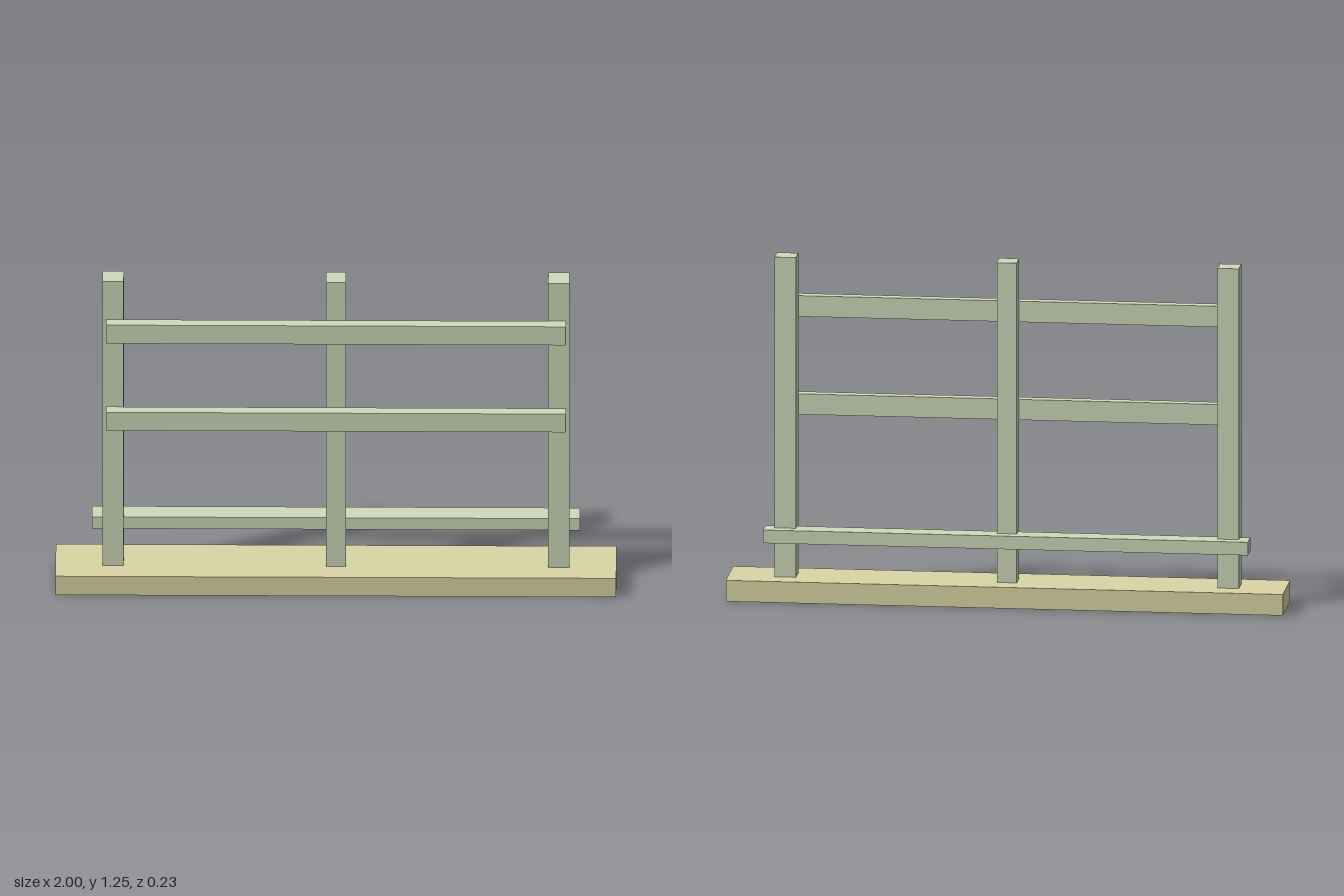
import * as THREE from 'three';

export function createModel() {
  const model = new THREE.Group();
  model.name = 'railStand';
  const green = new THREE.MeshStandardMaterial({ color: 0xd0dabb });
  const sand = new THREE.MeshStandardMaterial({ color: 0xdbd6a5 });

  // Box given by its centre x, width, and y and z ranges
  function beam(name, material, x, width, [y0, y1], [z0, z1]) {
    const mesh = new THREE.Mesh(new THREE.BoxGeometry(width, y1 - y0, z1 - z0), material);
    mesh.position.set(x, (y0 + y1) / 2, (z0 + z1) / 2);
    mesh.name = name;
    model.add(mesh);
  }

  // Ground plank
  beam('base', sand, 0, 2, [0, 0.077], [-0.115, 0.115]);

  // Three upright posts, the middle one slightly narrower
  const postY = [0.077, 1.246], postZ = [-0.038, 0.038];
  beam('rightPost', green, -0.795, 0.076, postY, postZ);
  beam('middlePost', green, 0, 0.071, postY, postZ);
  beam('leftPost', green, 0.795, 0.076, postY, postZ);

  // Two rails fixed to the front of the posts
  beam('upperRail', green, 0, 1.64, [1.014, 1.09], [0.038, 0.078]);
  beam('middleRail', green, 0, 1.64, [0.656, 0.731], [0.038, 0.078]);

  // Low rail notched into the back of the posts
  beam('lowerRail', green, 0, 1.74, [0.208, 0.256], [-0.077, 0]);

  return model;
}
